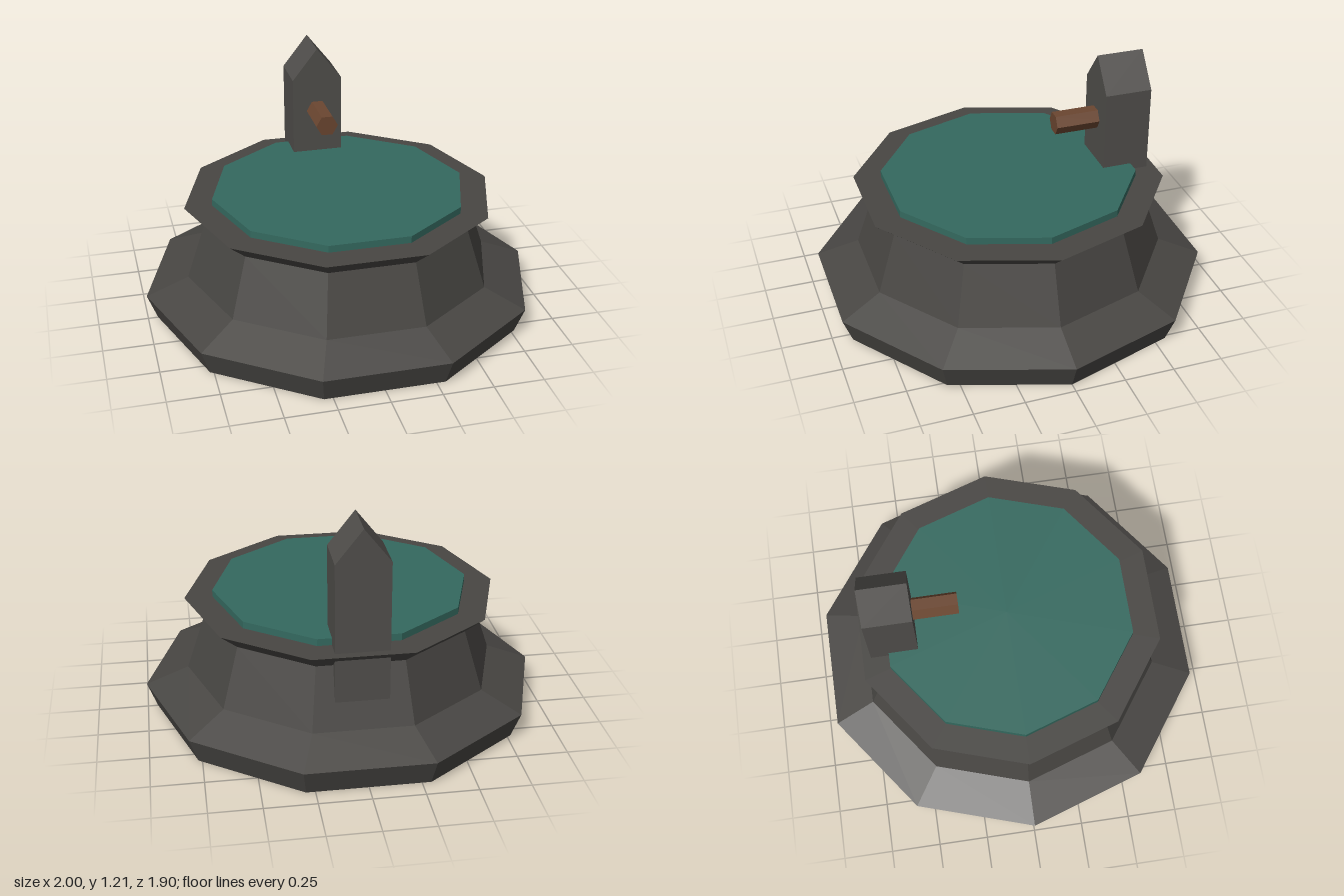
import * as THREE from 'three';

const material = (color) => new THREE.MeshStandardMaterial({ color, flatShading: true });

function addMesh(group, name, geometry, mat) {
  const mesh = new THREE.Mesh(geometry, mat);
  mesh.name = name;
  group.add(mesh);
  return mesh;
}

export function createModel() {
  const group = new THREE.Group();
  group.name = 'fountain';
  const sides = 10;

  // Ten-sided stone basin: flared plinth, tapering drum, overhanging rim
  const profile = [
    [0, 0], [0.95, 0], [1, 0.13], [0.785, 0.215],
    [0.685, 0.515], [0.785, 0.6], [0, 0.6],
  ].map(([r, y]) => new THREE.Vector2(r, y));
  addMesh(group, 'basin', new THREE.LatheGeometry(profile, sides, Math.PI / 2), material(0x484643));

  // Water slab on top of the basin
  const water = new THREE.CylinderGeometry(0.645, 0.645, 0.035, sides, 1, false, Math.PI / 2);
  addMesh(group, 'water', water, material(0x34695f)).position.y = 0.6175;

  // Gabled pillar at the back, running down through the basin
  const outline = new THREE.Shape([
    [-0.13, 0.005], [0.13, 0.005], [0.13, 1.04], [0, 1.205], [-0.13, 1.04],
  ].map(([x, y]) => new THREE.Vector2(x, y)));
  const pillar = new THREE.ExtrudeGeometry(outline, { depth: 0.24, bevelEnabled: false });
  addMesh(group, 'pillar', pillar, material(0x504e4b)).position.z = -0.705;

  // Six-sided spout, set into the pillar face
  const spout = new THREE.CylinderGeometry(0.057, 0.057, 0.26, 6, 1, false, Math.PI / 2);
  spout.rotateX(Math.PI / 2);
  addMesh(group, 'spout', spout, material(0x6b4630)).position.set(0, 0.865, -0.37);

  return group;
}
